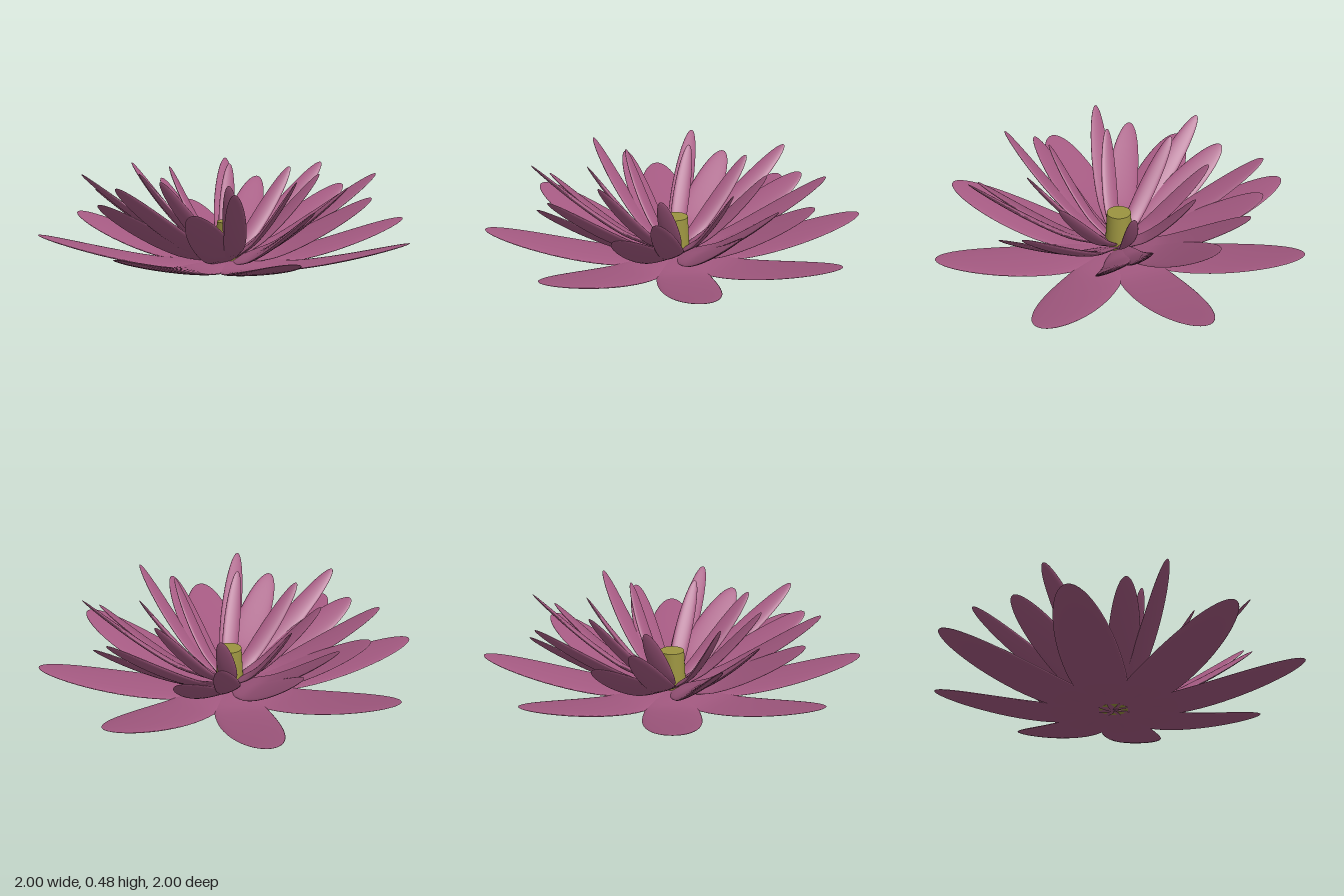
import * as THREE from 'three';

const petalMaterial = new THREE.MeshStandardMaterial({ color: 0xa55a82 });
const centreMaterial = new THREE.MeshStandardMaterial({ color: 0x9c9440 });
const rad = THREE.MathUtils.degToRad;

// Rings of eight petals: base height, tip radius, tip height and tip direction,
// half width, and roll about the petal's own length.
const rings = [
  { name: 'outerPetal', baseY: 0.035, radius: 1.0, tipY: 0.217, angle: 0, halfWidth: 0.147, roll: 0 },
  { name: 'lowerPetal', baseY: 0.025, radius: 0.75, tipY: 0.39, angle: 16, halfWidth: 0.092, roll: 22 },
  { name: 'upperPetal', baseY: 0.025, radius: 0.775, tipY: 0.495, angle: -14, halfWidth: 0.062, roll: 22 },
  { name: 'innerPetal', baseY: 0.025, radius: 0.475, tipY: 0.495, angle: -16, halfWidth: 0.048, roll: 22 },
];

// A flattened ellipsoid along +z, curved upward towards the tip, then rolled and pitched.
function petalGeometry({ baseY, radius, tipY, angle, halfWidth, roll }) {
  const rise = tipY - baseY;
  const reach = Math.hypot(radius, rise);
  const curl = 0.18;
  const length = reach / Math.hypot(1, curl);
  const geometry = new THREE.SphereGeometry(1, 24, 28);
  geometry.rotateX(Math.PI / 2);
  geometry.scale(halfWidth, 0.014, length / 2);
  geometry.translate(0, 0, length / 2);
  const position = geometry.attributes.position;
  for (let i = 0; i < position.count; i++) {
    const t = Math.max(0, position.getZ(i) / length - 0.3) / 0.7;
    position.setY(i, position.getY(i) + curl * length * Math.pow(t, 1.3));
  }
  geometry.computeVertexNormals();
  geometry.rotateZ(rad(roll));

  // Pitch and turn so that the tip lands on its target.
  const tip = new THREE.Vector3(0, curl * length, length)
    .applyAxisAngle(new THREE.Vector3(0, 0, 1), rad(roll));
  const pitch = Math.asin(rise / Math.hypot(tip.y, tip.z)) - Math.atan2(tip.y, tip.z);
  geometry.rotateX(-pitch);
  tip.applyAxisAngle(new THREE.Vector3(1, 0, 0), -pitch);
  geometry.rotateY(rad(angle) - Math.atan2(tip.x, tip.z));
  return geometry;
}

export function createModel() {
  const flower = new THREE.Group();
  flower.name = 'flower';

  for (const ring of rings) {
    const group = new THREE.Group();
    group.name = ring.name + 'Ring';
    const geometry = petalGeometry(ring);
    for (let i = 0; i < 8; i++) {
      const petal = new THREE.Mesh(geometry, petalMaterial);
      petal.name = ring.name;
      petal.position.y = ring.baseY;
      petal.rotation.y = (i * Math.PI) / 4;
      group.add(petal);
    }
    flower.add(group);
  }

  // Seed pod in the middle, a little wider at its foot
  const pod = new THREE.Mesh(new THREE.CylinderGeometry(0.064, 0.075, 0.215, 32), centreMaterial);
  pod.name = 'seedPod';
  pod.position.y = 0.135;
  flower.add(pod);

  // Stand the flower on the ground
  const box = new THREE.Box3().setFromObject(flower, true);
  for (const part of flower.children) part.position.y -= box.min.y;
  return flower;
}
